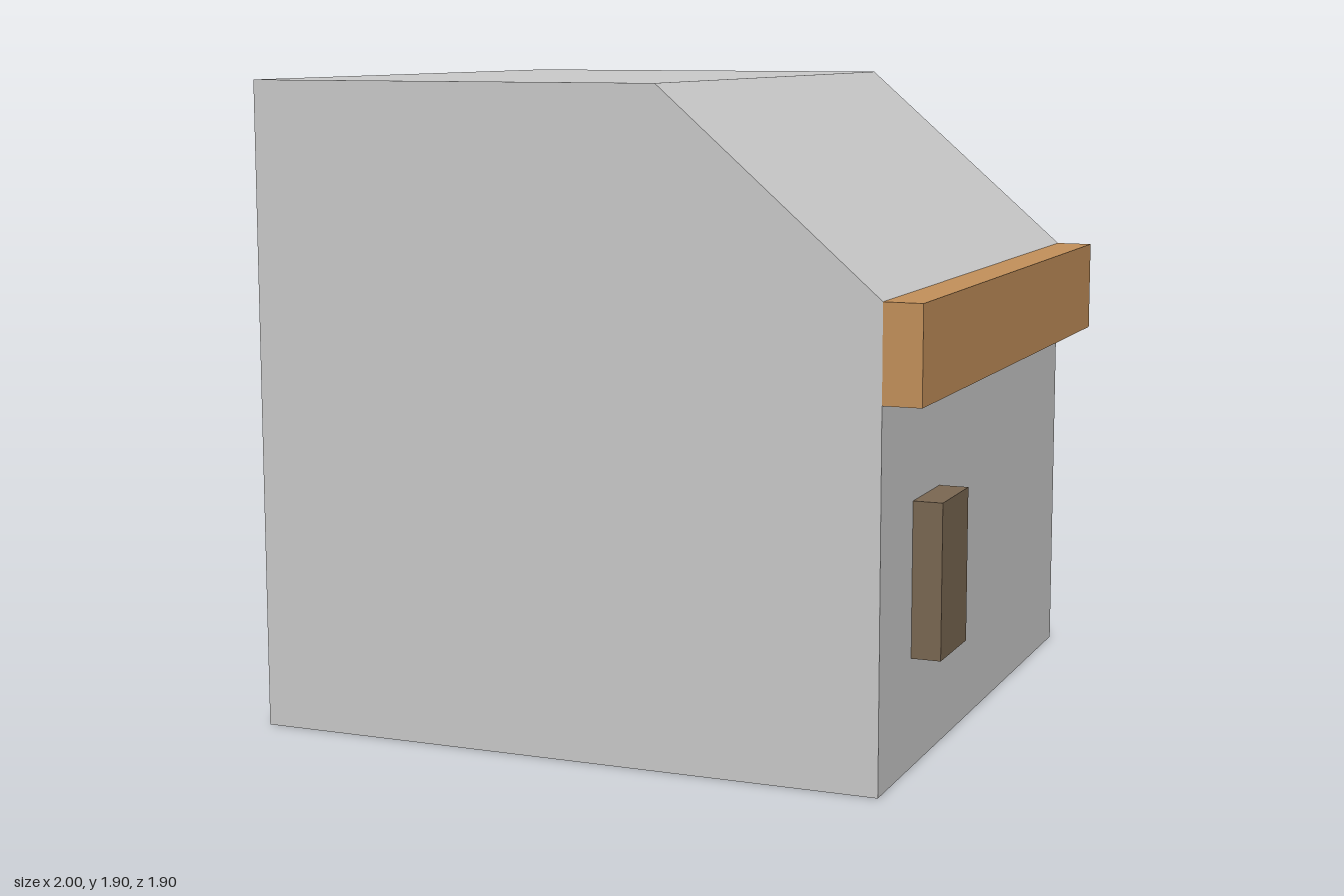
import * as THREE from 'three';

const DEPTH = 1.9;

function material(color) {
  return new THREE.MeshStandardMaterial({ color, flatShading: true });
}

// Box given by its lower and upper corners
function block(name, color, [x0, y0, z0], [x1, y1, z1]) {
  const mesh = new THREE.Mesh(new THREE.BoxGeometry(x1 - x0, y1 - y0, z1 - z0), material(color));
  mesh.position.set((x0 + x1) / 2, (y0 + y1) / 2, (z0 + z1) / 2);
  mesh.name = name;
  return mesh;
}

export function createModel() {
  const model = new THREE.Group();
  model.name = 'building';

  // Main volume: profile with one sloped roof edge, extruded along z
  const profile = new THREE.Shape([
    [-1, 0], [0.89, 0], [0.89, 1.34], [0.245, 1.9], [-1, 1.9],
  ].map(([x, y]) => new THREE.Vector2(x, y)));
  const geometry = new THREE.ExtrudeGeometry(profile, { depth: DEPTH, bevelEnabled: false });
  geometry.translate(0, 0, -DEPTH / 2);
  const body = new THREE.Mesh(geometry, material(0xcccccc));
  body.name = 'body';
  model.add(body);

  // Fascia board running under the sloped roof
  model.add(block('fascia', 0xc4915b, [0.89, 1.065, -DEPTH / 2], [1, 1.34, DEPTH / 2]));

  // Small panel standing out from the wall
  model.add(block('wallPanel', 0x7b6852, [0.89, 0.315, 0.405], [0.975, 0.76, 0.66]));

  return model;
}
